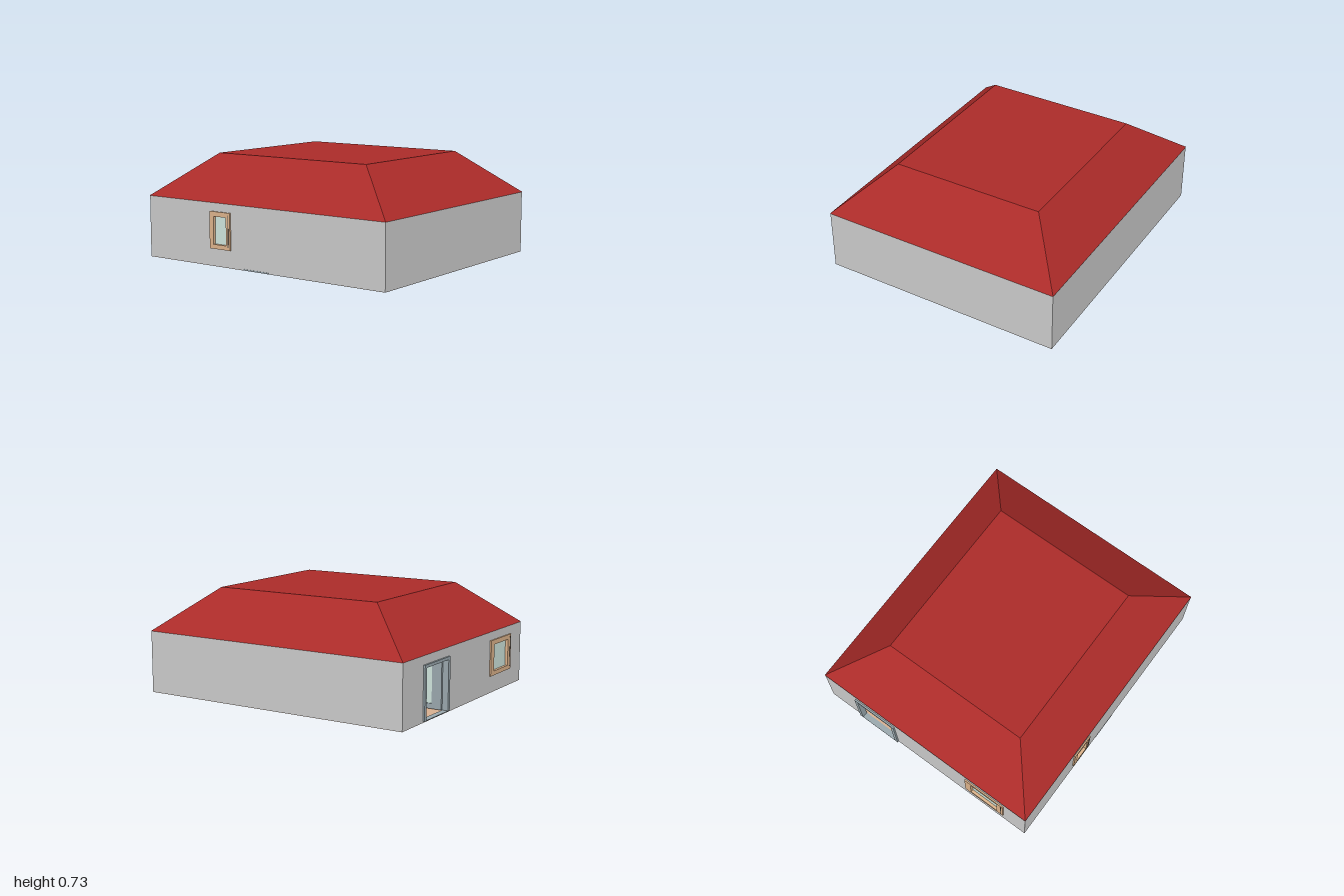
import * as THREE from 'three';

const X0 = -0.985, X1 = 0.998, Z0 = -0.86, Z1 = 0.85; // outer footprint
const EAVE = 0.43, TOP = 0.725, BASE = 0.002, FLOOR = 0.01, T = 0.03;

const paint = (color) => new THREE.MeshStandardMaterial({ color, flatShading: true });
const MAT = {
  wall: paint(0xcccccc), roof: paint(0xab2b29), wood: paint(0xdeb48c),
  glass: paint(0xd0e6de), steel: paint(0x9aa8ae), dark: paint(0x555555),
  floor: paint(0xd8b090), darkFloor: paint(0x9e836d), tile: paint(0xb6b6b6),
};

// Box given by its minimum and maximum on each axis
function box(name, mat, x0, x1, y0, y1, z0, z1) {
  const mesh = new THREE.Mesh(new THREE.BoxGeometry(x1 - x0, y1 - y0, z1 - z0), mat);
  mesh.position.set((x0 + x1) / 2, (y0 + y1) / 2, (z0 + z1) / 2);
  mesh.name = name;
  return mesh;
}

function rect(Type, x0, x1, y0, y1) {
  return new Type([[x0, y0], [x1, y0], [x1, y1], [x0, y1]].map((p) => new THREE.Vector2(...p)));
}

// Upright plate in the xy plane with rectangular holes
function plate(name, mat, outer, holes, depth) {
  const shape = rect(THREE.Shape, ...outer);
  shape.holes = holes.map((h) => rect(THREE.Path, ...h));
  const mesh = new THREE.Mesh(
    new THREE.ExtrudeGeometry(shape, { depth, bevelEnabled: false }), mat);
  mesh.name = name;
  return mesh;
}

// Window in the xy plane; z = 0 is the outer face of the wall
function makeWindow(name, x0, x1, y0, y1, border) {
  const g = new THREE.Group();
  g.name = name;
  const pane = [x0 + border, x1 - border, y0 + 0.03, y1 - 0.033];
  const trim = plate('windowTrim', MAT.wood, [x0, x1, y0, y1], [pane], T + 0.01);
  trim.position.z = -T;
  g.add(trim);
  g.add(box('windowPane', MAT.glass, pane[0], pane[1], pane[2], pane[3], -0.02, -0.01));
  g.add(box('windowHinge', MAT.dark, x1 - 0.018, x1 - 0.013, y0 + 0.02, y1 - 0.015, 0.008, 0.012));
  return g;
}

export function createModel() {
  const house = new THREE.Group();
  house.name = 'house';

  // Floors of the three rooms
  const e = 0.001;
  house.add(
    box('mainFloor', MAT.floor, X0 + e, -0.14, 0, FLOOR, Z0 + e, Z1 - e),
    box('hallFloor', MAT.floor, -0.14, 0.29, 0, FLOOR, Z0 + e, 0.2),
    box('backFloor', MAT.floor, 0.29, X1 - e, 0, FLOOR, Z0 + e, -0.18),
    box('bedroomFloor', MAT.darkFloor, 0.29, X1 - e, 0, FLOOR, -0.18, Z1 - e),
    box('bathroomFloor', MAT.tile, -0.14, 0.29, 0, FLOOR, 0.2, Z1 - e),
    box('frontThreshold', MAT.steel, -0.13, 0.08, 0.003, FLOOR, Z1 - 0.1, Z1 + 0.002),
  );

  // Outer walls
  const front = plate('frontWall', MAT.wall, [X0, X1, BASE, EAVE], [[-0.41, -0.25, 0.13, 0.365]], T);
  front.position.z = Z1 - T;
  const doorHole = [-0.59, -0.27, FLOOR, 0.36];
  const side = plate('rightWall', MAT.wall, [Z0, Z1, BASE, EAVE],
    [doorHole, [0.36, 0.66, 0.13, 0.36]], T);
  side.rotation.y = -Math.PI / 2;
  side.position.x = X0 + T;
  house.add(front, side,
    box('backWall', MAT.wall, X0, X1, BASE, EAVE, Z0, Z0 + T),
    box('leftWall', MAT.wall, X1 - T, X1, BASE, EAVE, Z0, Z1));

  // Partitions between the rooms
  house.add(
    box('bedroomPartition', MAT.wall, 0.28, 0.3, FLOOR, EAVE, -0.18, Z1 - T),
    box('bedroomBackPartition', MAT.wall, 0.28, X1 - T, FLOOR, EAVE, -0.2, -0.18),
    box('bathroomPartition', MAT.wall, -0.15, -0.13, FLOOR, EAVE, 0.2, Z1 - T),
    box('bathroomBackPartition', MAT.wall, -0.15, 0.28, FLOOR, EAVE, 0.19, 0.21));

  // Windows
  const frontWindow = makeWindow('frontWindow', -0.42, -0.24, 0.12, 0.372, 0.035);
  frontWindow.position.z = Z1;
  const sideWindow = makeWindow('sideWindow', 0.35, 0.67, 0.12, 0.37, 0.05);
  sideWindow.rotation.y = -Math.PI / 2;
  sideWindow.position.x = X0;
  house.add(frontWindow, sideWindow);

  // Doorway frame with the glazed leaf standing open into the room
  const frame = plate('doorFrame', MAT.steel, [-0.6, -0.26, FLOOR, 0.37],
    [[-0.575, -0.285, FLOOR + 0.003, 0.35]], T + 0.012);
  frame.rotation.y = -Math.PI / 2;
  frame.position.x = X0 + T;
  const leaf = new THREE.Group();
  leaf.name = 'doorLeaf';
  const xa = X0 + T, xb = xa + 0.29;
  const leafFrame = plate('leafFrame', MAT.steel, [xa, xb, 0.015, 0.35],
    [[xa + 0.07, xb - 0.07, 0.05, 0.31]], 0.02);
  leafFrame.position.z = -0.3;
  leaf.add(leafFrame,
    box('leafPane', MAT.glass, xa + 0.07, xb - 0.07, 0.05, 0.31, -0.294, -0.286));
  house.add(frame, leaf);

  // Hipped roof with a flat top: a box whose upper corners move inwards
  const geo = new THREE.BoxGeometry(1, 1, 1);
  const p = geo.attributes.position;
  for (let i = 0; i < p.count; i++) {
    const up = p.getY(i) > 0;
    const x = p.getX(i) > 0 ? (up ? 0.63 : 1) : (up ? -0.615 : -0.987);
    const z = p.getZ(i) > 0 ? (up ? 0.535 : 0.852) : (up ? -0.545 : -0.862);
    p.setXYZ(i, x, up ? TOP : EAVE, z);
  }
  geo.computeVertexNormals();
  const roof = new THREE.Mesh(geo, MAT.roof);
  roof.name = 'roof';
  house.add(roof);

  return house;
}
